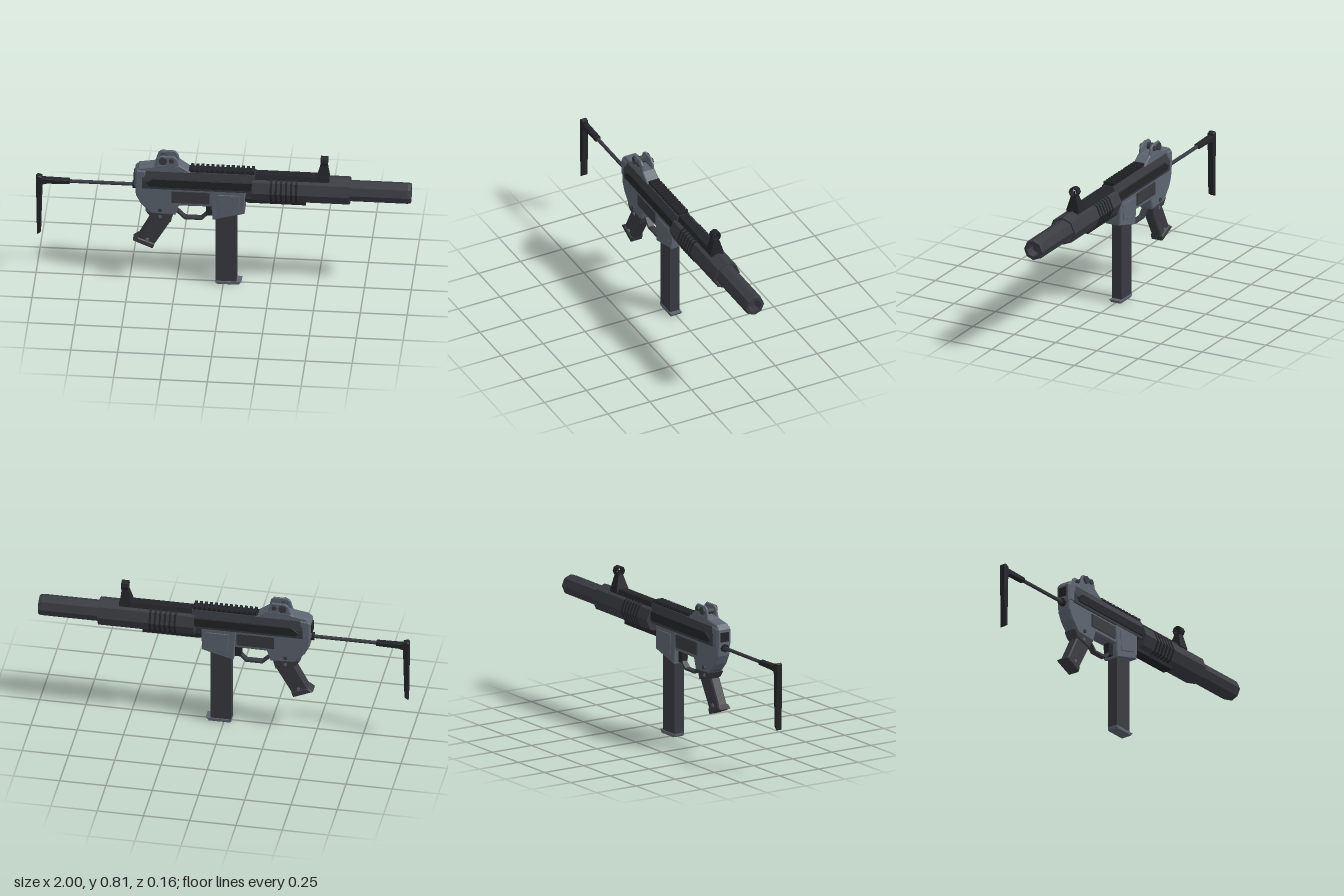
import * as THREE from 'three';

const mat = (color) => new THREE.MeshStandardMaterial({ color, flatShading: true });
const GREY = mat(0x5d6570), DARK = mat(0x383b40), BLACK = mat(0x222427);
const AXIS_Y = 0.608;

export function createModel() {
  const root = new THREE.Group();

  function add(name, geometry, material, x = 0, y = 0, z = 0, parent = root) {
    const mesh = new THREE.Mesh(geometry, material);
    mesh.name = name;
    mesh.position.set(x, y, z);
    parent.add(mesh);
    return mesh;
  }
  // Box given by its x, y and z ranges
  function box(name, material, x0, x1, y0, y1, z0, z1, parent) {
    return add(name, new THREE.BoxGeometry(x1 - x0, y1 - y0, z1 - z0), material,
      (x0 + x1) / 2, (y0 + y1) / 2, (z0 + z1) / 2, parent);
  }
  const shapeOf = (pts) => new THREE.Shape(pts.map((p) => new THREE.Vector2(...p)));
  // Side profile (x, y) extruded to half width w, with chamfered edges
  function plate(name, material, pts, w, bevel = 0, z = 0) {
    const g = new THREE.ExtrudeGeometry(shapeOf(pts), {
      depth: 2 * (w - bevel), bevelEnabled: bevel > 0, bevelThickness: bevel,
      bevelSize: bevel, bevelOffset: -bevel, bevelSegments: 1,
    });
    g.translate(0, 0, bevel - w);
    return add(name, g, material, 0, 0, z);
  }
  // Cross-section (z, y) extruded along x
  function bar(name, material, pts, x0, x1) {
    const g = new THREE.ExtrudeGeometry(shapeOf(pts), { depth: x1 - x0, bevelEnabled: false });
    return add(name, g.rotateY(Math.PI / 2), material, x0);
  }
  // Lathe profile (radius, x) turned about the barrel axis
  function turned(name, material, pts, y = AXIS_Y, sides = 8) {
    const g = new THREE.LatheGeometry(pts.map((p) => new THREE.Vector2(...p)), sides);
    return add(name, g.rotateZ(-Math.PI / 2), material, 0, y);
  }

  // Folding stock
  plate('stockButt', BLACK, [[-1, 0.61], [-0.99, 0.618], [-0.966, 0.61], [-0.966, 0.57],
    [-0.974, 0.265], [-0.994, 0.25]], 0.018, 0.004);
  plate('stockArm', BLACK, [[-0.972, 0.562], [-0.94, 0.57], [-0.82, 0.573], [-0.82, 0.597],
    [-0.972, 0.6]], 0.016, 0.003);
  turned('stockRod', DARK, [[0.01, -0.83], [0.01, -0.46]], 0.585);
  turned('stockCollar', BLACK, [[0, -0.485], [0.022, -0.485], [0.022, -0.44]], 0.585);

  // Lower receiver
  plate('lowerReceiver', GREY, [[-0.47, 0.61], [-0.465, 0.54], [-0.44, 0.49], [-0.385, 0.43],
    [-0.255, 0.425], [-0.235, 0.485], [0.1, 0.49], [0.1, 0.61]], 0.04, 0.006);
  plate('magazineWell', GREY, [[-0.07, 0.60], [-0.055, 0.41], [0.115, 0.457], [0.118, 0.60]],
    0.046, 0.004);
  for (const s of [-1, 1]) {
    box('sidePanel', DARK, -0.275, -0.072, 0.507, 0.577, s * 0.042 - 0.004, s * 0.042 + 0.004);
    plate('wellPanel', GREY, [[-0.03, 0.57], [-0.025, 0.455], [0.085, 0.485], [0.09, 0.57]],
      0.003, 0.002, s * 0.047);
    const pin = add('receiverPin', new THREE.CylinderGeometry(0.011, 0.011, 0.008, 8), DARK,
      -0.335, 0.455, s * 0.042);
    pin.rotation.x = Math.PI / 2;
  }

  // Upper receiver with its sloping shoulders, side rails and rear cap
  bar('upperReceiver', DARK, [[-0.047, 0.59], [0.047, 0.59], [0.05, 0.64], [0.034, 0.695],
    [-0.034, 0.695], [-0.05, 0.64]], -0.43, 0.17);
  for (const s of [-1, 1]) {
    plate('sideRail', BLACK, [[-0.41, 0.625], [-0.39, 0.605], [0.17, 0.605], [0.17, 0.655],
      [-0.37, 0.655]], 0.004, 0.002, s * 0.05);
  }
  plate('rearCap', GREY, [[-0.472, 0.59], [-0.41, 0.59], [-0.41, 0.70], [-0.46, 0.70],
    [-0.472, 0.685]], 0.044, 0.01);
  box('rearLatch', BLACK, -0.478, -0.46, 0.62, 0.67, -0.025, 0.025);

  // Toothed top rail
  const rail = new THREE.Group();
  rail.name = 'topRail';
  root.add(rail);
  box('railBase', BLACK, -0.19, 0.165, 0.69, 0.702, -0.028, 0.028, rail);
  for (let i = 0; i < 13; i++) {
    const x = -0.175 + i * 0.027;
    box('railTooth', BLACK, x, x + 0.016, 0.70, 0.714, -0.03, 0.03, rail);
  }

  // Octagonal handguard with grip ribs
  turned('handguard', DARK, [[0, 0.155], [0.077, 0.155], [0.077, 0.675], [0.068, 0.675],
    [0.062, 0.64], [0, 0.64]]);
  for (let i = 0; i < 6; i++) {
    const x = 0.25 + i * 0.027;
    turned('handguardRib', BLACK, [[0.07, x], [0.081, x + 0.002], [0.081, x + 0.012], [0.07, x + 0.014]]);
  }
  bar('handguardTop', BLACK, [[-0.04, 0.66], [0.04, 0.66], [0.025, 0.695], [-0.025, 0.695]],
    0.16, 0.565);
  plate('handguardBottom', BLACK, [[0.11, 0.55], [0.11, 0.53], [0.13, 0.518], [0.44, 0.518],
    [0.44, 0.55]], 0.03, 0.003);

  // Suppressor with recessed muzzle
  turned('suppressor', DARK, [[0.058, 0.63], [0.058, 0.985], [0.054, 1], [0.036, 1],
    [0.03, 0.95], [0, 0.95]]);

  // Front sight: tapering post, hood ring and pin
  const post = new THREE.BoxGeometry(0.065, 0.085, 0.08);
  const p = post.attributes.position;
  for (let i = 0; i < p.count; i++) {
    if (p.getY(i) > 0) {
      p.setZ(i, p.getZ(i) * 0.38);
      p.setX(i, p.getX(i) > 0 ? 0.024 : -0.012);
    }
  }
  post.computeVertexNormals();
  add('frontSightPost', post, BLACK, 0.53, 0.723);
  turned('frontSightHood', BLACK, [[0.02, 0.518], [0.027, 0.518], [0.027, 0.556], [0.02, 0.556],
    [0.02, 0.518]], 0.787);
  box('frontSightPin', BLACK, 0.534, 0.54, 0.762, 0.79, -0.003, 0.003);

  // Rear sight: sloped base, two ears, drum and knobs
  plate('rearSightBase', GREY, [[-0.465, 0.69], [-0.45, 0.71], [-0.375, 0.722], [-0.35, 0.735],
    [-0.235, 0.738], [-0.17, 0.692]], 0.037, 0.005);
  for (const s of [-1, 1]) {
    plate('rearSightEar', GREY, [[-0.365, 0.725], [-0.35, 0.775], [-0.335, 0.788], [-0.262, 0.788],
      [-0.245, 0.77], [-0.235, 0.73], [-0.205, 0.71], [-0.36, 0.71]], 0.007, 0.003, s * 0.029);
    for (const [x, y, r] of [[-0.32, 0.762, 0.022], [-0.275, 0.765, 0.014]]) {
      const knob = add('rearSightKnob', new THREE.CylinderGeometry(r, r, 0.016, 8), DARK, x, y, s * 0.037);
      knob.rotation.x = Math.PI / 2;
    }
  }
  const drum = add('rearSightDrum', new THREE.CylinderGeometry(0.02, 0.02, 0.06, 8), DARK, -0.32, 0.757);
  drum.rotation.x = Math.PI / 2;

  // Pistol grip with flared foot
  plate('grip', DARK, [[-0.405, 0.455], [-0.385, 0.40], [-0.465, 0.25], [-0.375, 0.215],
    [-0.285, 0.37], [-0.265, 0.45]], 0.029, 0.007);
  plate('gripFoot', DARK, [[-0.455, 0.27], [-0.482, 0.25], [-0.376, 0.205], [-0.365, 0.235]],
    0.036, 0.005);
  plate('gripCollar', DARK, [[-0.415, 0.442], [-0.39, 0.405], [-0.28, 0.375], [-0.262, 0.442]],
    0.035, 0.005);
  for (const s of [-1, 1]) {
    for (const [x, y] of [[-0.335, 0.41], [-0.405, 0.26]]) {
      const screw = add('gripScrew', new THREE.CylinderGeometry(0.01, 0.01, 0.008, 6), GREY,
        x, y, s * (y > 0.3 ? 0.035 : 0.031));
      screw.rotation.x = Math.PI / 2;
    }
  }

  // Trigger guard strip and magazine catch
  plate('triggerGuard', DARK, [[-0.26, 0.43], [-0.245, 0.425], [-0.208, 0.388], [-0.115, 0.388],
    [-0.085, 0.42], [-0.085, 0.437], [-0.12, 0.4], [-0.203, 0.4], [-0.24, 0.437]], 0.016);
  box('magazineCatch', BLACK, -0.092, -0.058, 0.42, 0.49, -0.018, 0.018);

  // Magazine and floor plate
  box('magazine', DARK, -0.04, 0.07, 0.012, 0.47, -0.029, 0.029);
  plate('magazineFloor', GREY, [[-0.043, 0.02], [-0.04, 0.006], [-0.03, 0], [0.08, 0], [0.098, 0.02]],
    0.032, 0.003);

  return root;
}
